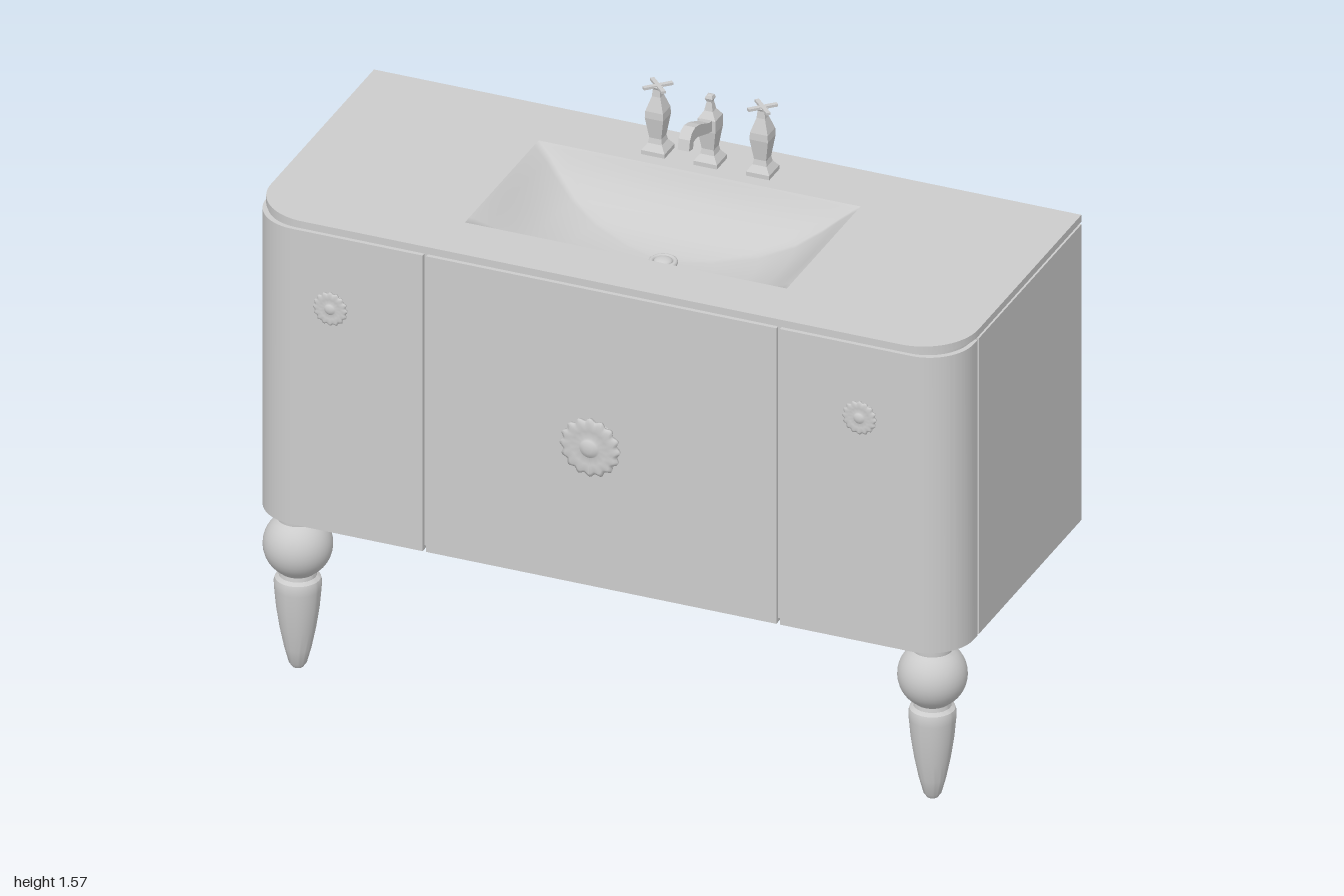
import * as THREE from 'three';
import { toCreasedNormals } from 'three/addons/utils/BufferGeometryUtils.js';

const grey = new THREE.MeshStandardMaterial({ color: 0xcccccc });
const flat = new THREE.MeshStandardMaterial({ color: 0xcccccc, flatShading: true });

function add(parent, name, geometry, material = grey, x = 0, y = 0, z = 0) {
  const mesh = new THREE.Mesh(geometry, material);
  mesh.name = name;
  mesh.position.set(x, y, z);
  parent.add(mesh);
  return mesh;
}

const points = (list) => list.map(([a, b]) => new THREE.Vector2(a, b));

// Plan outline in x and z, with optional rounded front corners
function outline(x0, x1, z0, z1, rLeft = 0, rRight = 0) {
  const s = new THREE.Shape();
  s.moveTo(x0, z0);
  s.lineTo(x1, z0);
  s.lineTo(x1, z1 - rRight);
  if (rRight) s.absarc(x1 - rRight, z1 - rRight, rRight, 0, Math.PI / 2);
  s.lineTo(x0 + rLeft, z1);
  if (rLeft) s.absarc(x0 + rLeft, z1 - rLeft, rLeft, Math.PI / 2, Math.PI);
  s.closePath();
  return s;
}

// Raise a plan outline from y0 to y1
function raise(shape, y0, y1) {
  const g = new THREE.ExtrudeGeometry(shape, { depth: y1 - y0, bevelEnabled: false, curveSegments: 20 });
  g.rotateX(Math.PI / 2).translate(0, y1, 0);
  return toCreasedNormals(g, 0.5);
}

// Extrude a (z, y) profile across x, centred
function across(list, width) {
  const shape = new THREE.Shape(points(list.map(([z, y]) => [-z, y])));
  const g = new THREE.ExtrudeGeometry(shape, { depth: width, bevelEnabled: false });
  return g.translate(0, 0, -width / 2).rotateY(Math.PI / 2);
}

// Square turned column: profile of [half width, y]
function squareColumn(profile) {
  const g = new THREE.LatheGeometry(points(profile.map(([w, y]) => [w * Math.SQRT2, y])), 4);
  return g.rotateY(Math.PI / 4);
}

// Fluted pull facing +z
function knobGeometry(size) {
  const profile = [[0.03, 0], [0.022, 0.008], [0.021, 0.03], [0.034, 0.042], [0.06, 0.056], [0.081, 0.068],
    [0.083, 0.077], [0.072, 0.083], [0.05, 0.081], [0.03, 0.079], [0.025, 0.086], [0.012, 0.09], [0, 0.09]];
  const g = new THREE.LatheGeometry(points(profile), 96);
  const p = g.attributes.position;
  for (let i = 0; i < p.count; i++) {
    const x = p.getX(i), z = p.getZ(i), r = Math.hypot(x, z);
    const k = 1 + 0.055 * THREE.MathUtils.smoothstep(r, 0.03, 0.07) * Math.cos(16 * Math.atan2(z, x));
    p.setX(i, x * k);
    p.setZ(i, z * k);
  }
  g.computeVertexNormals();
  return g.rotateX(Math.PI / 2).scale(size, size, size);
}

const RIM = { a: 0.455, z0: -0.275, z1: 0.21 };
const TOP = 1.372;

// Basin: nested rings, softening from a rectangle towards the drain
function basinGeometry() {
  // half width, back z, front z, drop, roundness
  const rings = [[RIM.a, RIM.z0, RIM.z1, 0, 0], [0.445, -0.27, 0.2, 0.008, 0.03], [0.42, -0.258, 0.178, 0.03, 0.08],
    [0.385, -0.235, 0.145, 0.062, 0.14], [0.33, -0.195, 0.1, 0.1, 0.22], [0.25, -0.145, 0.055, 0.128, 0.35],
    [0.14, -0.09, 0.01, 0.142, 0.6], [0.04, -0.06, -0.01, 0.146, 0.9], [0, -0.035, -0.035, 0.146, 1]];
  const M = 16, N = 4 * M, pos = [], idx = [];
  rings.forEach(([a, z0, z1, drop, k], i) => {
    for (let j = 0; j < N; j++) {
      const t = (j % M) / M * 2 - 1;
      const [u, v] = [[1, t], [-t, 1], [-1, -t], [t, -1]][Math.floor(j / M)];
      const x = u * Math.sqrt(1 - k * v * v / 2), z = v * Math.sqrt(1 - k * u * u / 2);
      pos.push(a * x, TOP - drop, (z0 + z1) / 2 + (z1 - z0) / 2 * z);
      if (i < rings.length - 1) {
        const p = i * N + j, q = i * N + (j + 1) % N;
        idx.push(p, p + N, q, q, p + N, q + N);
      }
    }
  });
  const g = new THREE.BufferGeometry();
  g.setAttribute('position', new THREE.Float32BufferAttribute(pos, 3));
  g.setIndex(idx);
  g.computeVertexNormals();
  return g;
}

export function createModel() {
  const model = new THREE.Group();
  model.name = 'washstand';
  const back = -0.46, front = 0.372, low = 0.47, high = 1.344;
  const basinHole = () => new THREE.Path(points([[-RIM.a, RIM.z0], [-RIM.a, RIM.z1], [RIM.a, RIM.z1], [RIM.a, RIM.z0]]));

  // Recessed carcass that shows in the gaps between panels
  const core = outline(-0.988, 0.988, back + 0.012, front - 0.012, 0.12, 0.12);
  core.holes.push(basinHole());
  add(model, 'carcass', raise(core, low + 0.012, 1.353));

  // Centre cabinet, notched to clear the basin
  add(model, 'centreCabinet', across([[back, low], [front, low], [front, high], [0.218, high], [0.218, 1.2],
    [-0.285, 1.2], [-0.285, high], [back, high]], 0.99));

  // Countertop and basin
  const slab = outline(-1, 1, back, front, 0.155, 0.155);
  slab.holes.push(basinHole());
  add(model, 'countertop', raise(slab, 1.352, TOP));
  add(model, 'basin', basinGeometry(), new THREE.MeshStandardMaterial({ color: 0xcccccc, side: THREE.DoubleSide }));

  // Drain
  add(model, 'drainRing', new THREE.TorusGeometry(0.032, 0.007, 10, 32).rotateX(Math.PI / 2), grey, 0, 1.231, -0.035);
  add(model, 'drainPlug', new THREE.SphereGeometry(0.025, 24, 12).scale(1, 0.4, 1), grey, 0, 1.233, -0.035);

  // Turned leg profile, foot to neck
  const leg = [[0, 0], [0.015, 0.002], [0.024, 0.015], [0.036, 0.06], [0.048, 0.12], [0.057, 0.18], [0.062, 0.235],
    [0.063, 0.255], [0.06, 0.266], [0.05, 0.274], [0.048, 0.285]];
  for (let i = 0; i <= 12; i++) {
    const t = -1.0 + i / 12 * 1.95;
    leg.push([0.092 * Math.cos(t), 0.365 + 0.092 * Math.sin(t)]);
  }
  leg.push([0.054, 0.446], [0.054, 0.484]);

  // Faucet handle profile
  const handle = [[0, 0], [0.033, 0], [0.033, 0.012], [0.02, 0.03], [0.017, 0.045], [0.026, 0.105], [0.025, 0.125],
    [0.012, 0.165], [0.01, 0.185], [0.014, 0.192], [0, 0.196]];

  for (const side of [1, -1]) {
    const half = new THREE.Group();
    half.name = side > 0 ? 'leftSide' : 'rightSide';
    half.scale.x = side;
    model.add(half);
    add(half, 'roundedDoor', raise(outline(0.505, 1, 0.225, front, 0, 0.125), low, high));
    add(half, 'sidePanel', raise(outline(0.505, 1, back, 0.215), low, high));
    add(half, 'frontLeg', toCreasedNormals(new THREE.LatheGeometry(points(leg), 40), 0.6), grey, 0.897, 0, 0.28);
    add(half, 'doorKnob', knobGeometry(0.56), grey, 0.748, 1.155, front);
    add(half, 'tapColumn', squareColumn(handle), flat, 0.148, TOP, -0.345);
    // Diagonal cross handle
    for (const turn of [1, -1]) {
      const arm = add(half, 'tapCross', new THREE.BoxGeometry(0.082, 0.007, 0.012), flat, 0.148, 1.565, -0.345);
      arm.rotation.y = turn * Math.PI / 4;
    }
  }

  add(model, 'drawerKnob', knobGeometry(0.98), grey, 0, 0.922, front);

  // Spout with its column and finial
  add(model, 'spoutColumn', squareColumn([[0, 0], [0.033, 0], [0.033, 0.012], [0.02, 0.03], [0.017, 0.045],
    [0.025, 0.1], [0.025, 0.135], [0.012, 0.155], [0.007, 0.18], [0.011, 0.19], [0.008, 0.198], [0, 0.2]]),
  flat, 0, TOP, -0.345);
  add(model, 'spout', across([[-0.345, 1.472], [-0.3, 1.482], [-0.225, 1.508], [-0.2, 1.508], [-0.194, 1.488],
    [-0.168, 1.493], [-0.175, 1.522], [-0.188, 1.538], [-0.21, 1.544], [-0.24, 1.538], [-0.3, 1.512],
    [-0.345, 1.504]], 0.032), flat);

  return model;
}
